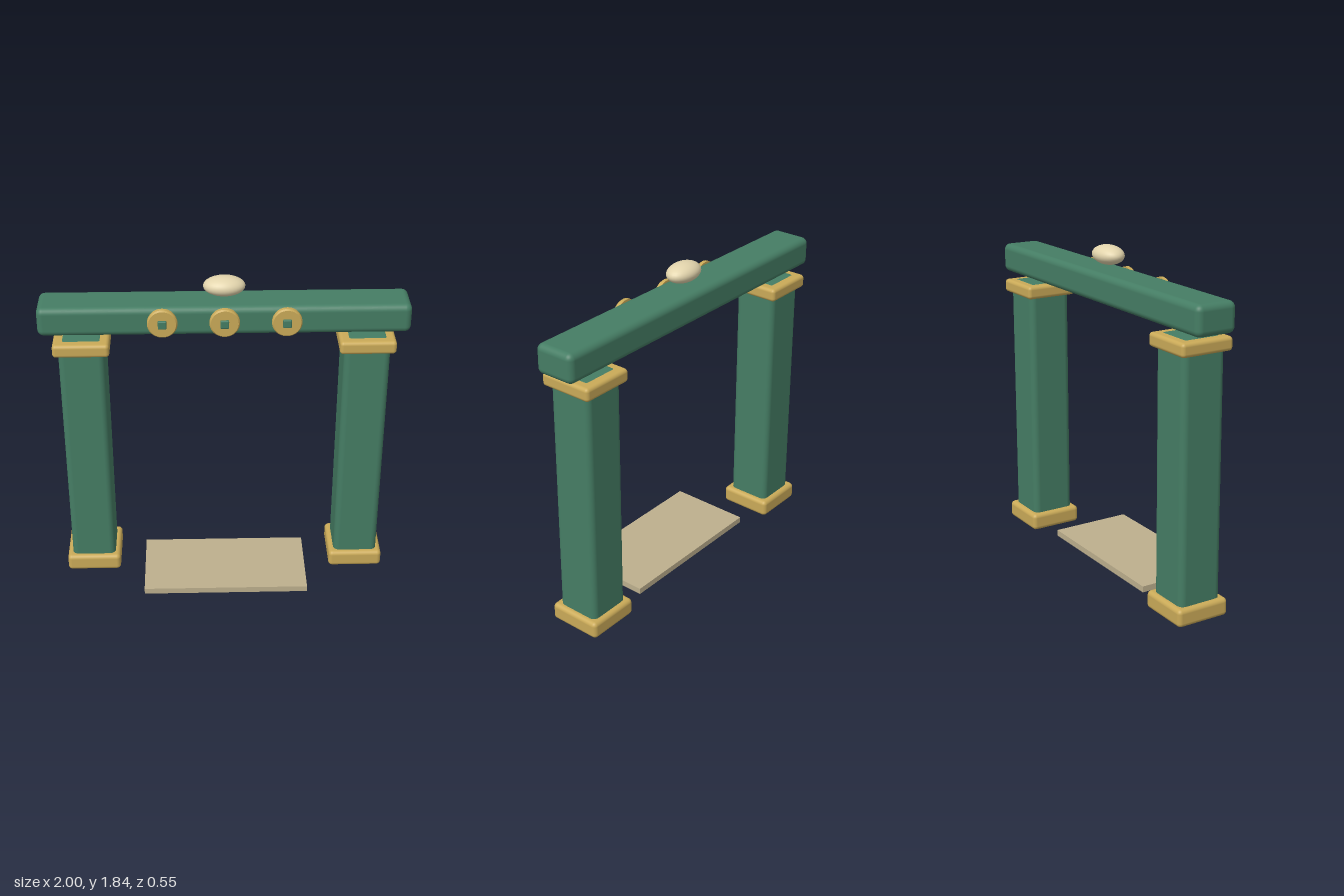
import * as THREE from 'three';
import { RoundedBoxGeometry } from 'three/addons/geometries/RoundedBoxGeometry.js';

const green = new THREE.MeshStandardMaterial({ color: 0x457d64 });
const gold = new THREE.MeshStandardMaterial({ color: 0xcaaa58 });
const cream = new THREE.MeshStandardMaterial({ color: 0xe2d4ac });
const stone = new THREE.MeshStandardMaterial({ color: 0xbdaf8d });

const axisZ = -0.117; // depth line shared by posts, beam and finial

function add(parent, name, geometry, material, x, y, z) {
  const mesh = new THREE.Mesh(geometry, material);
  mesh.name = name;
  mesh.position.set(x, y, z);
  parent.add(mesh);
  return mesh;
}

const rounded = (w, h, d, r) => new RoundedBoxGeometry(w, h, d, 4, r);

export function createModel() {
  const model = new THREE.Group();
  model.name = 'gateway';

  // Posts: green shaft running through a gold base and capital
  for (const [side, s] of [['left', 1], ['right', -1]]) {
    const post = new THREE.Group();
    post.name = `${side}Post`;
    post.position.set(s * 0.772, 0, axisZ);
    add(post, 'shaft', rounded(0.252, 1.512, 0.252, 0.035), green, 0, 0.756, 0);
    add(post, 'base', rounded(0.31, 0.1, 0.31, 0.024), gold, 0, 0.053, 0);
    add(post, 'capital', rounded(0.306, 0.075, 0.306, 0.02), gold, 0, 1.473, 0);
    model.add(post);
  }

  // Lintel beam
  add(model, 'beam', rounded(2, 0.164, 0.234, 0.035), green, 0, 1.626, axisZ - 0.003);

  // Medallions on the front of the beam: bevelled disc with a square stud
  const discProfile = [[0, -0.007], [0.081, -0.007], [0.081, 0.014], [0.074, 0.022], [0, 0.022]]
    .map(([r, h]) => new THREE.Vector2(r, h));
  // Repeated corner points keep the rim crisp
  const crisp = discProfile.flatMap((p, i) => (i > 0 && i < 4 ? [p, p.clone()] : [p]));
  const discGeometry = new THREE.LatheGeometry(crisp, 40).rotateX(Math.PI / 2);
  for (const x of [-0.332, 0, 0.332]) {
    const medallion = new THREE.Group();
    medallion.name = 'medallion';
    medallion.position.set(x, 1.626, 0);
    add(medallion, 'disc', discGeometry, gold, 0, 0, 0);
    add(medallion, 'stud', rounded(0.046, 0.046, 0.036, 0.006), green, 0, 0, 0.018);
    model.add(medallion);
  }

  // Floating oval finial above the beam
  add(model, 'finial', new THREE.SphereGeometry(1, 32, 20), cream, 0, 1.785, axisZ)
    .scale.set(0.113, 0.053, 0.077);

  // Threshold slab
  add(model, 'threshold', new THREE.BoxGeometry(0.94, 0.035, 0.47), stone, 0, 0.027, 0.04);

  return model;
}
